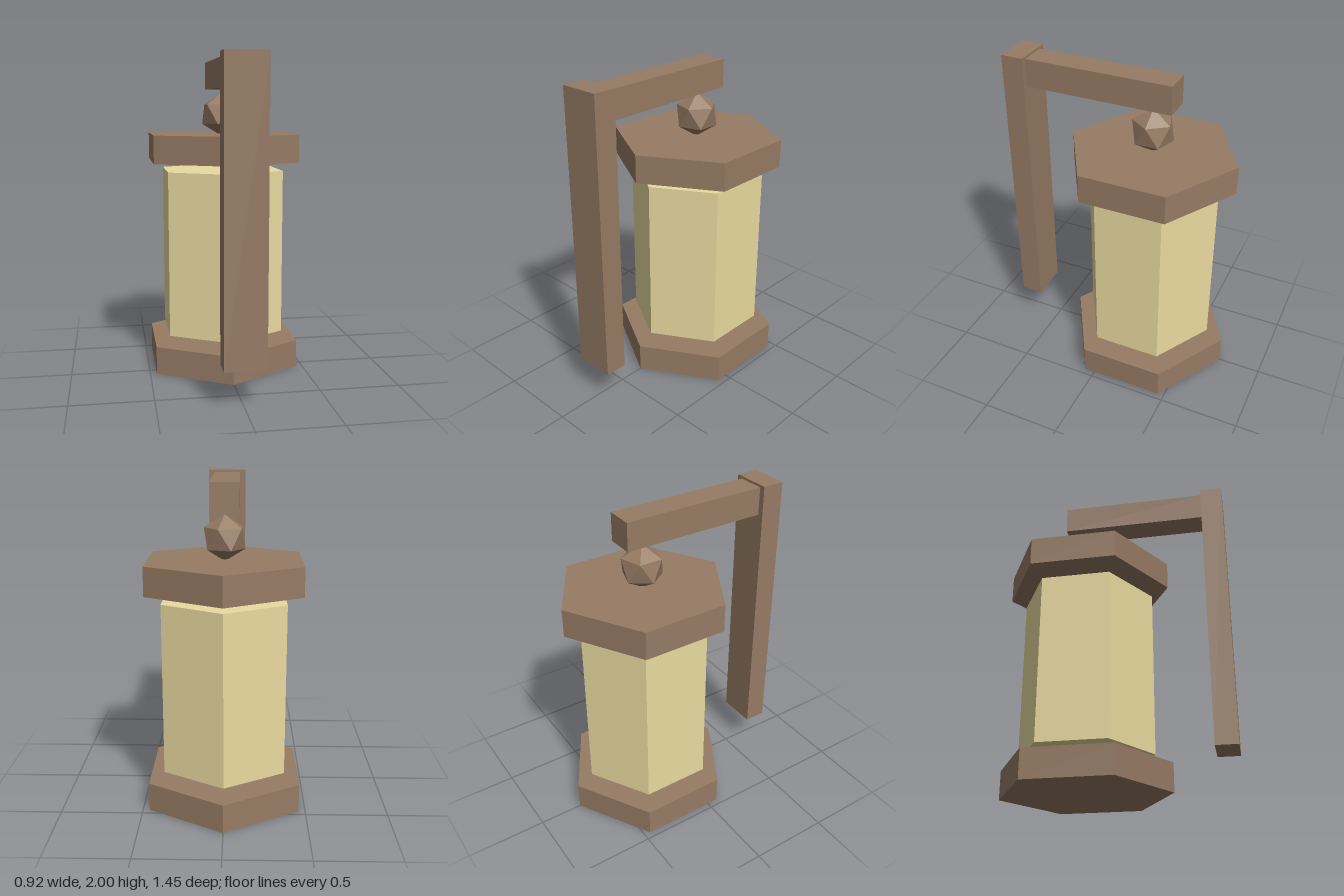
import * as THREE from 'three';

export function createModel() {
  const lantern = new THREE.Group();
  lantern.name = 'hangingLantern';

  const wood = new THREE.MeshStandardMaterial({ color: 0x967b64, flatShading: true });
  const glass = new THREE.MeshStandardMaterial({ color: 0xeadba0, flatShading: true });
  const axisZ = -0.195; // lantern body axis, behind the post

  function add(name, geometry, material, x, y, z) {
    const mesh = new THREE.Mesh(geometry, material);
    mesh.name = name;
    mesh.position.set(x, y, z);
    lantern.add(mesh);
    return mesh;
  }

  // Hexagonal prism on the lantern axis, corners towards front and back
  function hexPrism(name, radius, bottom, top, material) {
    const geometry = new THREE.CylinderGeometry(radius, radius, top - bottom, 6);
    add(name, geometry, material, 0, (bottom + top) / 2, axisZ);
  }

  // Box given by its half width and its y and z ranges
  function beam(name, halfWidth, y0, y1, z0, z1) {
    const geometry = new THREE.BoxGeometry(halfWidth * 2, y1 - y0, z1 - z0);
    add(name, geometry, wood, 0, (y0 + y1) / 2, (z0 + z1) / 2);
  }

  // Lantern body
  hexPrism('base', 0.53, 0, 0.178, wood);
  hexPrism('lampGlass', 0.425, 0.232, 1.292, glass);
  hexPrism('roof', 0.53, 1.349, 1.525, wood);

  // Faceted knob, turned so one corner points straight up
  const knob = new THREE.IcosahedronGeometry(0.139, 0);
  knob.rotateZ(-Math.atan(2 / (1 + Math.sqrt(5))));
  add('knob', knob, wood, 0, 1.65, axisZ);

  // Bracket
  beam('post', 0.125, 0.232, 2, 0.587, 0.727);
  beam('arm', 0.087, 1.81, 1.985, -0.337, 0.587);

  return lantern;
}
